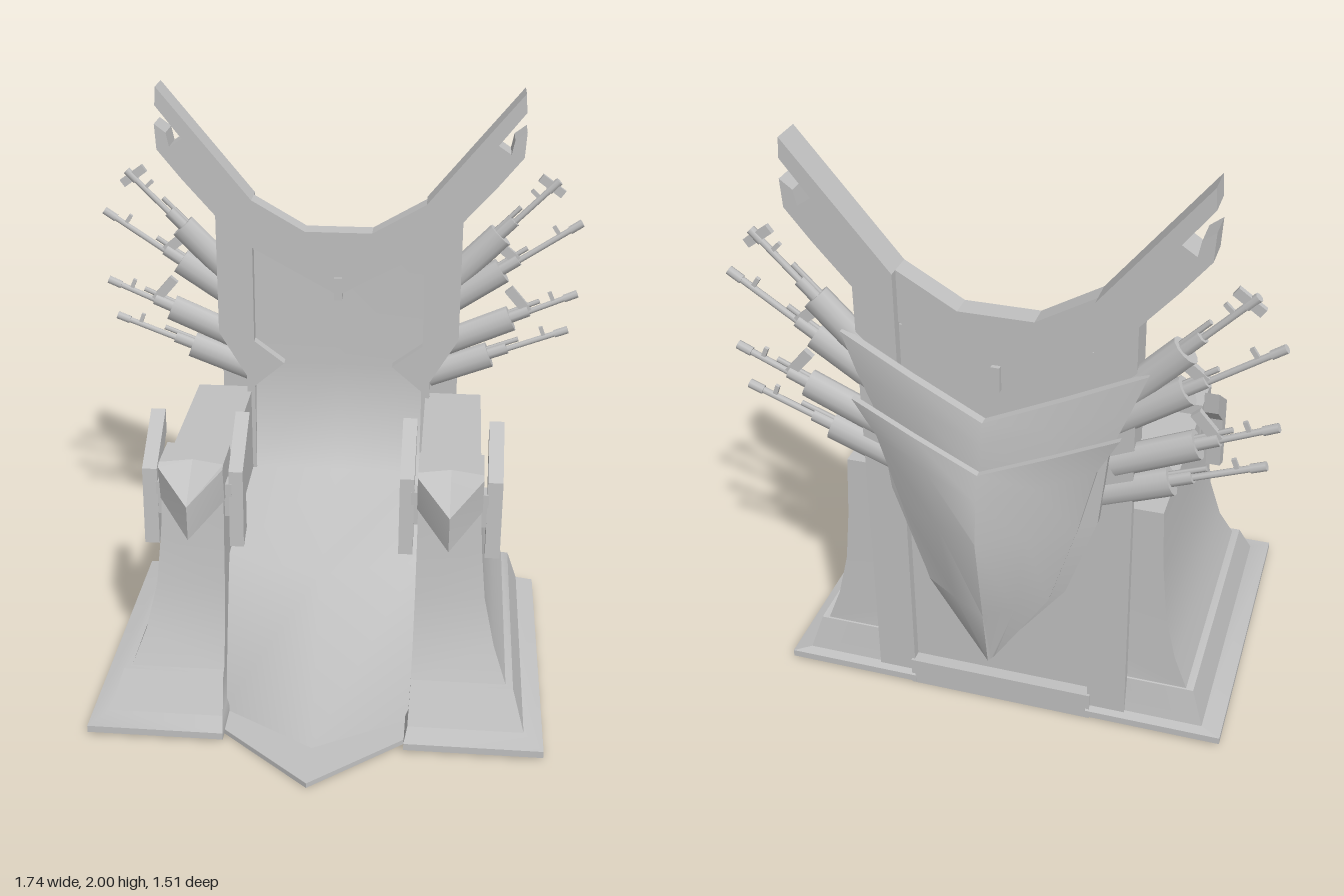
import * as THREE from 'three';
import { toCreasedNormals } from 'three/addons/utils/BufferGeometryUtils.js';

const stone = new THREE.MeshStandardMaterial({ color: 0xc0c0c0 });
stone.name = 'pale grey';

function add(parent, name, geometry) {
  const mesh = new THREE.Mesh(geometry, stone);
  mesh.name = name;
  parent.add(mesh);
  return mesh;
}

// Closed solid through equal-length loops of [x, y, z]; always wound outwards.
function loft(loops, crease = 0.5) {
  const tris = [];
  const quad = (a, b, c, d) => tris.push([a, b, c], [a, c, d]);
  const n = loops[0].length;
  for (let r = 0; r < loops.length - 1; r++) {
    for (let i = 0; i < n; i++) {
      const j = (i + 1) % n;
      quad(loops[r][i], loops[r][j], loops[r + 1][j], loops[r + 1][i]);
    }
  }
  const first = loops[0], last = loops[loops.length - 1];
  for (let i = 0; i < Math.floor((n - 1) / 2); i++) {
    quad(first[n - 1 - i], first[n - 2 - i], first[i + 1], first[i]);
    quad(last[i], last[i + 1], last[n - 2 - i], last[n - 1 - i]);
  }
  let volume = 0;
  for (const [a, b, c] of tris) {
    volume += a[0] * (b[1] * c[2] - b[2] * c[1]) + a[1] * (b[2] * c[0] - b[0] * c[2]) + a[2] * (b[0] * c[1] - b[1] * c[0]);
  }
  if (volume < 0) tris.forEach((t) => t.reverse());
  const g = new THREE.BufferGeometry();
  g.setAttribute('position', new THREE.Float32BufferAttribute(tris.flat(2), 3));
  g.computeVertexNormals();
  return toCreasedNormals(g, crease);
}

const toVectors = (pts) => pts.map(([x, y]) => new THREE.Vector2(x, y));
const mirrored = (half) => half.concat(half.slice().reverse().map(([x, y]) => [-x, y]));

// Flat plate between two z values.
function plate(points, z0, z1, hole) {
  const shape = new THREE.Shape(toVectors(points));
  if (hole) shape.holes.push(new THREE.Path(toVectors(hole)));
  return new THREE.ExtrudeGeometry(shape, { depth: z1 - z0, bevelEnabled: false }).translate(0, 0, z0);
}

// Flared pedestal under each armrest: [y, inner x, outer x, front z, back z].
const pedestalRows = [
  [0.01, 0.305, 0.77, 0.54, -0.555], [0.035, 0.305, 0.77, 0.54, -0.555],
  [0.055, 0.315, 0.705, 0.47, -0.535], [0.18, 0.32, 0.665, 0.4, -0.51],
  [0.182, 0.32, 0.64, 0.38, -0.505], [0.3, 0.322, 0.595, 0.325, -0.5],
  [0.46, 0.324, 0.558, 0.285, -0.495], [0.65, 0.325, 0.54, 0.262, -0.49],
  [0.865, 0.325, 0.53, 0.24, -0.485],
];

// Armrest caps and side wings, as [z, y] sections.
const capSide = [[0.1, 0.905], [0.25, 0.905], [0.27, 0.895], [0.25, 0.77], [0.1, 0.77]];
const capMiddle = [[0.1, 0.905], [0.22, 0.905], [0.365, 0.8], [0.36, 0.675], [0.1, 0.77]];
const wing = [[0.24, 0.59], [0.225, 0.865], [0.035, 1.0], [0.04, 0.92], [0.16, 0.82], [0.165, 0.625]];
const section = (pts, x) => pts.map(([z, y]) => [x, y, z]);

function armrest(s) {
  const g = new THREE.Group();
  g.name = s > 0 ? 'leftArmrest' : 'rightArmrest';
  add(g, 'pedestal', loft(pedestalRows.map(([y, xi, xo, zf, zb]) =>
    [[s * xi, y, zf], [s * xo, y, zf], [s * xo, y, zb], [s * xi, y, zb]])));
  add(g, 'armCap', loft([section(capSide, s * 0.322), section(capMiddle, s * 0.43), section(capSide, s * 0.538)], 0.2));
  add(g, 'innerWing', loft([section(wing, s * 0.262), section(wing, s * 0.31)], 0.1));
  add(g, 'outerWing', loft([section(wing, s * 0.552), section(wing, s * 0.602)], 0.1));
  add(g, 'innerWingMount', new THREE.BoxGeometry(0.03, 0.12, 0.06).translate(s * 0.315, 0.76, 0.2));
  add(g, 'outerWingMount', new THREE.BoxGeometry(0.03, 0.12, 0.06).translate(s * 0.542, 0.76, 0.2));
  return g;
}

// Rifle along local +x, from its stock at the origin.
function rifle(length, body, withMagazine, withMuzzle) {
  const g = new THREE.Group();
  g.name = 'rifle';
  const rod = (name, r, x0, x1, y, sides) => add(g, name,
    new THREE.CylinderGeometry(r, r, x1 - x0, sides).rotateZ(-Math.PI / 2).translate((x0 + x1) / 2, y, 0));
  const block = (name, w, h, d, x, y, tilt = 0) => add(g, name,
    new THREE.BoxGeometry(w, h, d).rotateZ(tilt).translate(x, y, 0));
  rod('receiver', 0.05, 0, body, 0, 12).scale.z = 0.75;
  rod('handguard', 0.024, body, body + 0.07, 0.005, 8);
  rod('barrel', 0.011, body, length, 0, 8);
  rod('gasTube', 0.009, body, body + 0.12, 0.024, 6);
  rod('muzzle', 0.015, length - 0.05, length, 0, 8);
  block('frontSight', 0.014, 0.045, 0.012, length - 0.09, 0.02);
  if (withMagazine) block('magazine', 0.035, 0.11, 0.02, body + 0.05, 0.055, 0.3);
  if (withMuzzle) block('bayonetMount', 0.03, 0.1, 0.018, length - 0.03, 0.005, 0.15);
  return g;
}

// Stock x and y, tip x and y, body length, magazine, muzzle block.
const rifles = [
  [0.4, 1.3, 0.77, 1.68, 0.25, false, true],
  [0.37, 1.2, 0.86, 1.53, 0.26, true, false],
  [0.37, 1.05, 0.86, 1.265, 0.28, true, false],
  [0.33, 0.93, 0.835, 1.125, 0.24, false, false],
];

// Shield rows: edge x, y, z and centre y, z, from the tip up.
function shield(rows, depth) {
  const steps = [-1, -0.5, 0, 0.5, 1];
  return loft(rows.map(([xe, ye, ze, yc, zc]) => {
    const face = steps.map((t) => {
      const k = Math.abs(t);
      return [t * xe, yc + (ye - yc) * k, zc + (ze - zc) * Math.pow(k, 1.2)];
    });
    return face.concat(face.slice().reverse().map(([x, y, z]) => [x, y, z + depth]));
  }), 0.7);
}

// Smooth folded surface from the floor over the seat and up the back.
function seatSurface() {
  const rows = [[0.02, 0.38, 0.57], [0.52, 0.17, 0.28], [0.55, -0.44, -0.45], [0.98, -0.47, -0.485], [1.44, -0.475, -0.49]];
  const pos = [], index = [];
  rows.forEach(([y, zs, zc], r) => {
    pos.push(-0.325, y, zs, 0, y, zc, 0.325, y, zs);
    if (r === 0) return;
    for (let i = 0; i < 2; i++) {
      const a = (r - 1) * 3 + i, b = a + 3;
      index.push(a, a + 1, b + 1, a, b + 1, b);
    }
  });
  const g = new THREE.BufferGeometry();
  g.setAttribute('position', new THREE.Float32BufferAttribute(pos, 3));
  g.setIndex(index);
  g.computeVertexNormals();
  return g;
}

export function createModel() {
  const model = new THREE.Group();
  model.name = 'throne';

  // Floor plate with a pointed front
  add(model, 'floorPlate', plate([[-0.31, 0.53], [0.31, 0.53], [0.31, -0.49], [0, -0.75], [-0.31, -0.49]], 0, 0.018).rotateX(-Math.PI / 2));
  add(model, 'seat', seatSurface());

  // Backrest frame with forked horns
  const horn = [[0.44, 1.545], [0.555, 1.675], [0.64, 1.78], [0.645, 1.87], [0.605, 1.84],
    [0.595, 1.79], [0.55, 1.82], [0.64, 1.935], [0.635, 2.0], [0.31, 1.605]];
  const outline = mirrored([[0.34, 0.04], [0.34, 0.93], [0.44, 1.1], ...horn, [0.12, 1.495]]);
  const opening = mirrored([[0.31, 0.1], [0.31, 0.89], [0.2, 0.985], [0.31, 1.07], [0.31, 1.43], [0.001, 1.26]]);
  add(model, 'backrestFrame', plate(outline, -0.51, -0.435, opening));
  add(model, 'backPanel', new THREE.BoxGeometry(0.64, 1.4, 0.012).translate(0, 0.72, -0.501));
  add(model, 'backSill', new THREE.BoxGeometry(0.64, 0.1, 0.05).translate(0, 0.05, -0.525));
  add(model, 'backrestPin', new THREE.BoxGeometry(0.028, 0.085, 0.1).translate(0, 1.285, -0.475));

  for (const s of [1, -1]) {
    // Rear post running up into the horn
    const post = [[0.31, 0.04], [0.44, 0.04], ...horn].map(([x, y]) => [s * x, y]);
    add(model, 'rearPost', plate(post, -0.54, -0.51));
    model.add(armrest(s));

    // Fan of rifles beside the backrest
    const fan = new THREE.Group();
    fan.name = s > 0 ? 'leftRifles' : 'rightRifles';
    fan.position.z = -0.515;
    if (s < 0) fan.rotation.y = Math.PI;
    for (const [x0, y0, x1, y1, body, magazine, muzzle] of rifles) {
      const gun = rifle(Math.hypot(x1 - x0, y1 - y0), body, magazine, muzzle);
      gun.position.set(x0, y0, 0);
      gun.rotation.z = Math.atan2(y1 - y0, x1 - x0);
      fan.add(gun);
    }
    model.add(fan);
  }

  // Two-layer shield on the back
  add(model, 'shieldBase', shield([
    [0.02, 0.28, -0.59, 0.27, -0.61], [0.24, 0.56, -0.575, 0.5, -0.65], [0.34, 0.85, -0.57, 0.8, -0.69],
    [0.37, 1.12, -0.575, 1.02, -0.68], [0.43, 1.27, -0.575, 1.14, -0.67], [0.48, 1.4, -0.565, 1.21, -0.655],
  ], 0.03));
  add(model, 'shieldFace', shield([
    [0.02, 0.29, -0.645, 0.275, -0.66], [0.2, 0.56, -0.635, 0.5, -0.7], [0.29, 0.85, -0.625, 0.83, -0.757],
    [0.35, 1.09, -0.64, 0.97, -0.735], [0.42, 1.22, -0.65, 1.06, -0.715],
  ], 0.022));
  return model;
}
